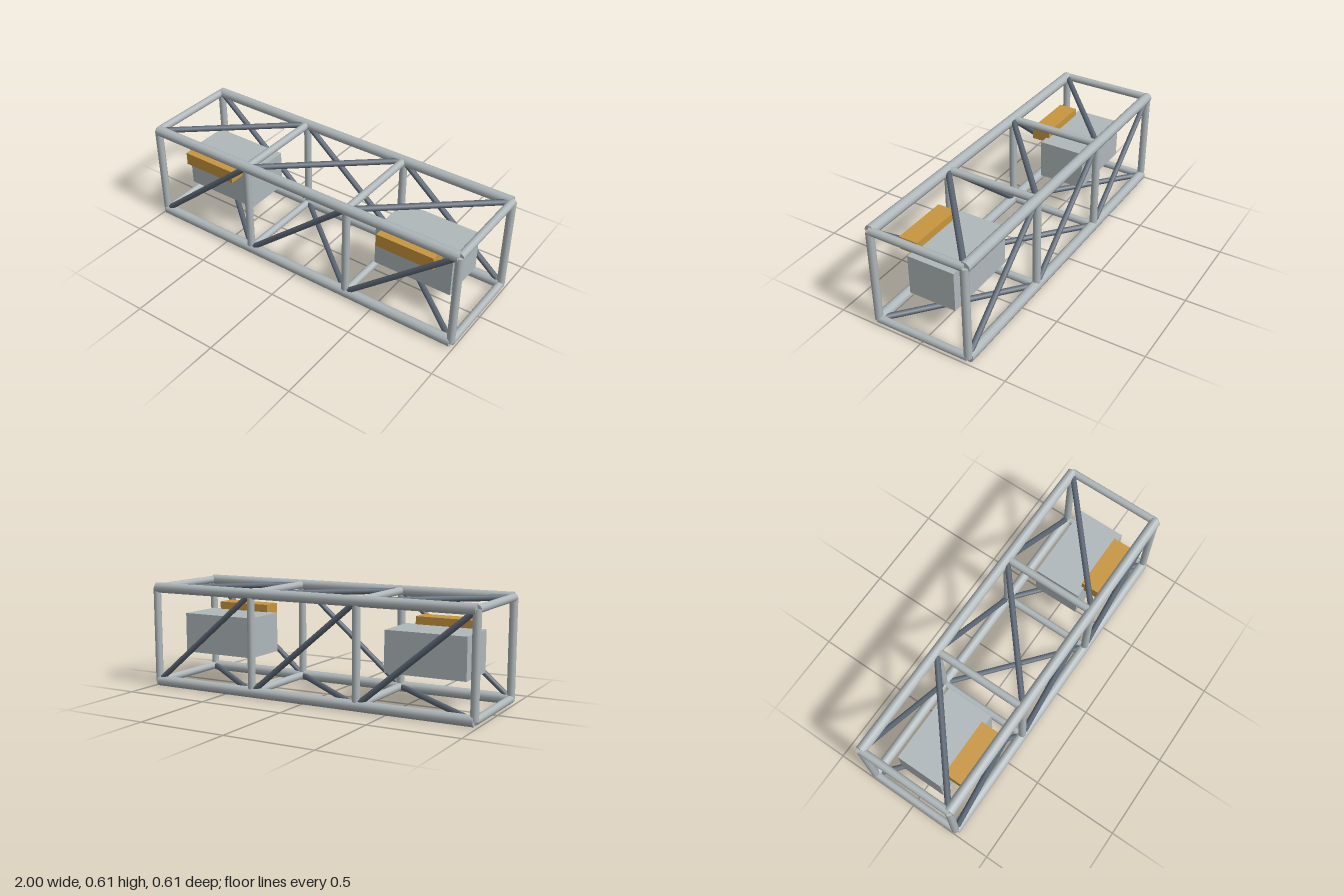
import * as THREE from 'three';

const material = (name, color) => {
  const m = new THREE.MeshStandardMaterial({ color });
  m.name = name;
  return m;
};

export function createModel() {
  const steel = material('pale steel', 0xb0b8bb);
  const slate = material('slate brace', 0x5f6a78);
  const ochre = material('ochre', 0xc8963e);

  const model = new THREE.Group();
  model.name = 'trussSegment';

  // Frame node positions
  const H = 0.275, low = 0.031, high = 0.581;
  const stations = [-0.978, -0.326, 0.326, 0.978];

  // Round tube between two points
  const tube = (name, a, b, radius, mat, sides = 10) => {
    const start = new THREE.Vector3(...a), end = new THREE.Vector3(...b);
    const dir = end.clone().sub(start);
    const mesh = new THREE.Mesh(new THREE.CylinderGeometry(radius, radius, dir.length(), sides), mat);
    mesh.position.copy(start).add(end).multiplyScalar(0.5);
    mesh.quaternion.setFromUnitVectors(new THREE.Vector3(0, 1, 0), dir.normalize());
    mesh.name = name;
    model.add(mesh);
  };

  const box = (name, size, pos, mat) => {
    const mesh = new THREE.Mesh(new THREE.BoxGeometry(...size), mat);
    mesh.position.set(...pos);
    mesh.name = name;
    model.add(mesh);
  };

  // Four long chords
  for (const y of [low, high])
    for (const z of [-H, H])
      tube('chord', [stations[0], y, z], [stations[3], y, z], 0.03, steel);

  // Square ring of posts and cross bars at each station
  for (const x of stations) {
    for (const z of [-H, H]) tube('post', [x, low, z], [x, high, z], 0.022, steel);
    for (const y of [low, high]) tube('crossBar', [x, y, -H], [x, y, H], 0.022, steel);
  }

  // One diagonal per face in each bay, opposite faces crossing
  for (let i = 0; i < 3; i++) {
    const a = stations[i], b = stations[i + 1];
    tube('frontBrace', [a, low, H], [b, high, H], 0.0165, slate, 8);
    tube('backBrace', [a, high, -H], [b, low, -H], 0.0165, slate, 8);
    tube('topBrace', [a, high, H], [b, high, -H], 0.0165, slate, 8);
    tube('bottomBrace', [a, low, -H], [b, low, H], 0.0165, slate, 8);
  }

  // Equipment boxes in the two end bays
  for (const x of [-0.65, 0.65]) {
    box('equipmentBox', [0.46, 0.23, 0.276], [x, 0.306, 0], steel);
    box('controlUnit', [0.336, 0.074, 0.11], [x, 0.428, 0.177], ochre);
  }

  return model;
}
